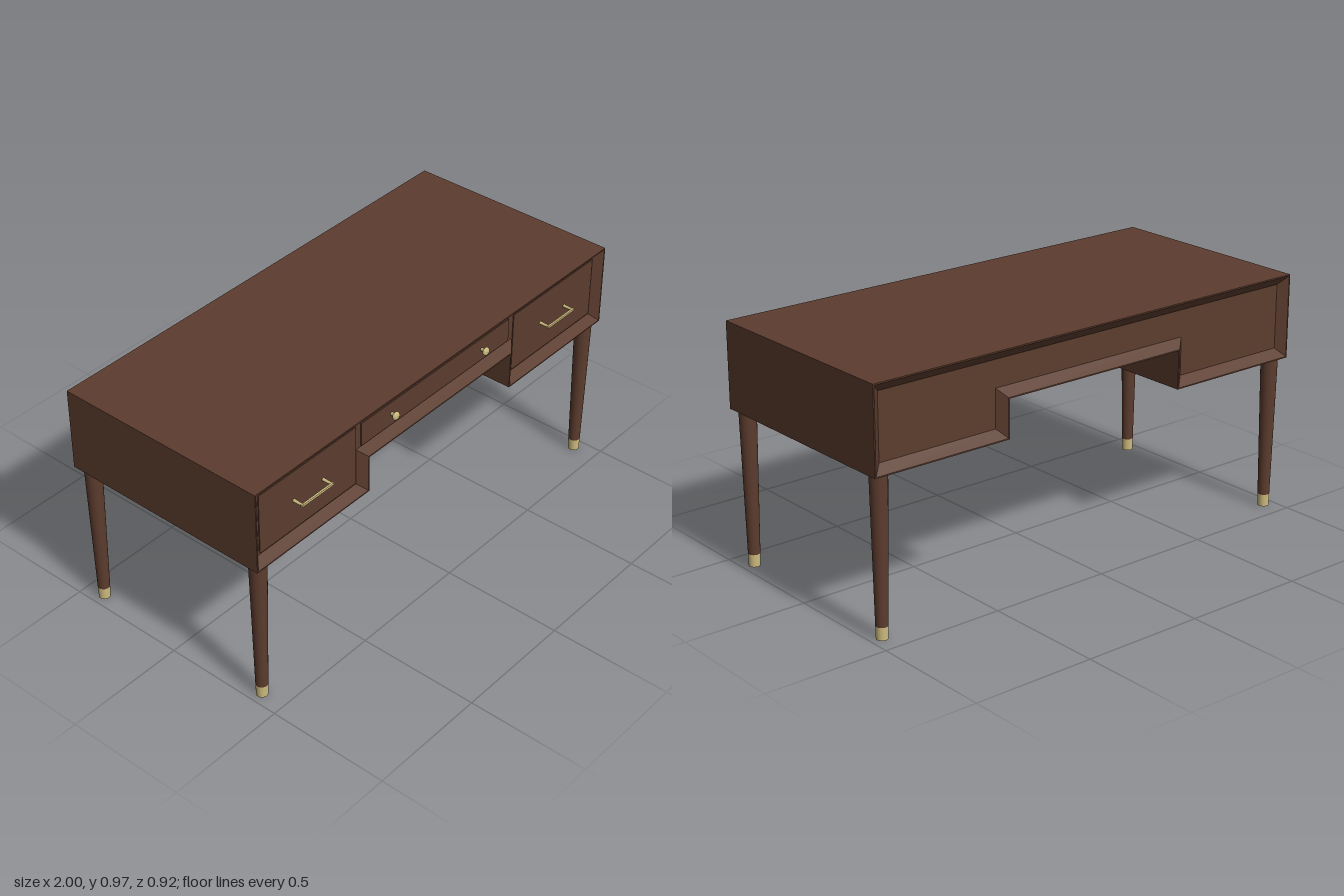
import * as THREE from 'three';

const wood = new THREE.MeshStandardMaterial({ color: 0x5c3c2e });
wood.name = 'walnut wood';
const brass = new THREE.MeshStandardMaterial({ color: 0xcdbb7e });
brass.name = 'pale brass';

const BOTTOM = 0.627, TOP = 0.967, KNEE_X = 0.41, KNEE_Y = 0.78;
const HALF = 0.45, DEPTH = 0.03, MID_Z = -0.01;

// Desk outline with its kneehole, moved inwards by d
const outline = (d) => [
  [-1 + d, BOTTOM + d], [-KNEE_X - d, BOTTOM + d], [-KNEE_X - d, KNEE_Y + d],
  [KNEE_X + d, KNEE_Y + d], [KNEE_X + d, BOTTOM + d], [1 - d, BOTTOM + d],
  [1 - d, TOP - d], [-1 + d, TOP - d],
];

// Picture-frame surround: thin flat lip, then a bevel sloping in to the panel
function frameGeometry() {
  const back = HALF - DEPTH;
  const rings = [[0, back], [0, HALF], [0.005, HALF], [0.04, back]]
    .map(([d, z]) => outline(d).map(([x, y]) => [x, y, z]));
  const pos = [];
  for (let r = 0; r < rings.length - 1; r++) {
    for (let i = 0; i < 8; i++) {
      const j = (i + 1) % 8;
      const a = rings[r][i], b = rings[r][j], c = rings[r + 1][j], e = rings[r + 1][i];
      pos.push(...a, ...b, ...c, ...a, ...c, ...e);
    }
  }
  const g = new THREE.BufferGeometry();
  g.setAttribute('position', new THREE.Float32BufferAttribute(pos, 3));
  g.computeVertexNormals();
  return g;
}

export function createModel() {
  const desk = new THREE.Group();
  desk.name = 'desk';

  function add(name, geometry, material, x = 0, y = 0, z = 0, parent = desk) {
    const m = new THREE.Mesh(geometry, material);
    m.name = name;
    m.position.set(x, y, z);
    parent.add(m);
    return m;
  }

  // Carcass
  const shape = new THREE.Shape(outline(0).map(([x, y]) => new THREE.Vector2(x, y)));
  const length = 2 * (HALF - DEPTH);
  add('carcass', new THREE.ExtrudeGeometry(shape, { depth: length, bevelEnabled: false }),
    wood, 0, 0, MID_Z - length / 2);

  // Bevelled surrounds
  const frame = frameGeometry();
  add('frontFrame', frame, wood, 0, 0, MID_Z);
  add('backFrame', frame, wood, 0, 0, MID_Z).rotation.y = Math.PI;

  // Drawer fronts
  const panelZ = MID_Z + HALF - DEPTH;
  add('centreDrawer', new THREE.BoxGeometry(0.85, 0.098, 0.008), wood, 0, 0.874, panelZ);
  const sideDrawer = new THREE.BoxGeometry(0.502, 0.25, 0.008);

  // Bar pull: a bar with a post at each end
  function addHandle(x) {
    const handle = new THREE.Group();
    handle.name = 'handle';
    handle.position.set(x, 0.799, 0);
    add('bar', new THREE.BoxGeometry(0.165, 0.009, 0.008), brass, 0, 0, 0.455, handle);
    for (const s of [-1, 1]) {
      const post = add('post', new THREE.CylinderGeometry(0.005, 0.007, 0.046, 12), brass,
        s * 0.076, 0, 0.433, handle);
      post.rotation.x = Math.PI / 2;
    }
    desk.add(handle);
  }

  // Round knob profile, turned to face the front
  const knob = new THREE.LatheGeometry(
    [[0.007, 0], [0.007, 0.012], [0.016, 0.018], [0.017, 0.023], [0.013, 0.029], [0, 0.031]]
      .map(([r, h]) => new THREE.Vector2(r, h)), 24);

  for (const s of [-1, 1]) {
    add('sideDrawer', sideDrawer, wood, s * 0.705, 0.799, panelZ);
    addHandle(s * 0.705);
    add('knob', knob, brass, s * 0.26, 0.873, panelZ + 0.003).rotation.x = Math.PI / 2;
  }

  // Tapered legs with brass feet
  const leg = new THREE.CylinderGeometry(0.034, 0.0235, BOTTOM - 0.05, 32);
  const foot = new THREE.CylinderGeometry(0.0235, 0.0225, 0.05, 32);
  for (const x of [-0.952, 0.952]) {
    for (const z of [0.397, -0.413]) {
      add('leg', leg, wood, x, (BOTTOM + 0.05) / 2, z);
      add('foot', foot, brass, x, 0.025, z);
    }
  }
  return desk;
}
